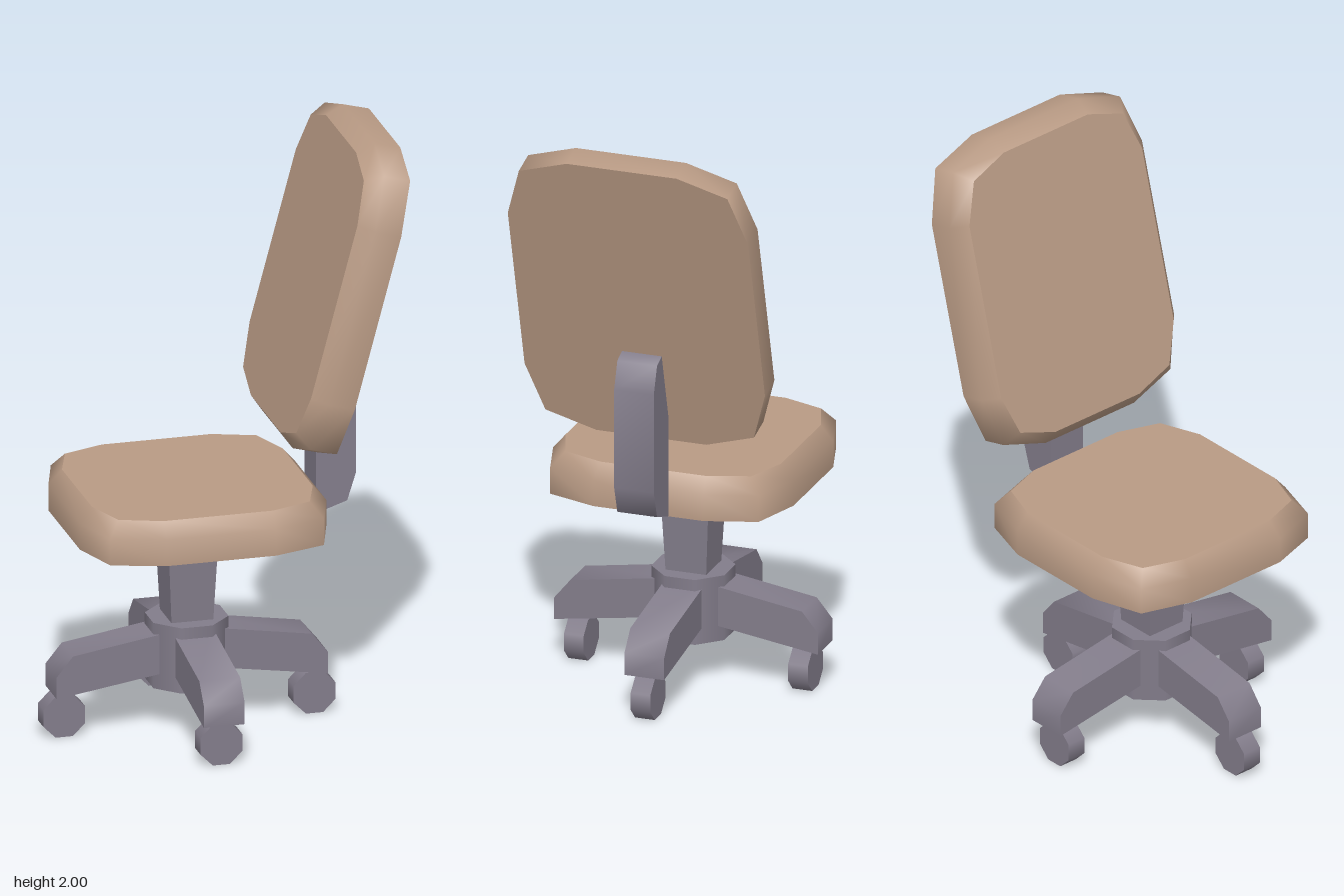
import * as THREE from 'three';
import { toCreasedNormals } from 'three/addons/utils/BufferGeometryUtils.js';

const CX = -0.09; // axis of the pedestal

// Outline of a cushion with clipped corners, shrunk by d
function outline(L, d) {
  const q = [[L - d, 0.19 - 0.2 * d], [L - 0.055 - 0.85 * d, 0.36 - 0.9 * d], [L - 0.23, 0.415 - d]];
  const r = [...q].reverse();
  return [
    ...q,
    ...r.map(([x, z]) => [-x, z]),
    ...q.map(([x, z]) => [-x, -z]),
    ...r.map(([x, z]) => [x, -z]),
  ];
}

// Padded slab: flat caps, smooth rim with a chamfer on the upper side
function cushion(L) {
  const rings = [[0, 0], [0.09, 0], [0.14, 0.043]];
  const pos = [], idx = [];
  const addRing = ([y, d]) => {
    const start = pos.length / 3;
    outline(L, d).forEach(([x, z]) => pos.push(x, y, z));
    return start;
  };
  const n = outline(L, 0).length;
  const starts = rings.map(addRing);
  for (let k = 0; k < rings.length - 1; k++) {
    for (let i = 0; i < n; i++) {
      const j = (i + 1) % n;
      const a = starts[k] + i, b = starts[k] + j, c = starts[k + 1] + j, d = starts[k + 1] + i;
      idx.push(a, d, c, a, c, b);
    }
  }
  const bottom = addRing(rings[0]), top = addRing(rings[2]);
  for (let i = 1; i < n - 1; i++) {
    idx.push(bottom, bottom + i, bottom + i + 1);
    idx.push(top, top + i + 1, top + i);
  }
  const g = new THREE.BufferGeometry();
  g.setAttribute('position', new THREE.Float32BufferAttribute(pos, 3));
  g.setIndex(idx);
  g.computeVertexNormals();
  return g;
}

// Side profile in x/y, extruded symmetrically along z
function bar(points, width) {
  const shape = new THREE.Shape(points.map(([x, y]) => new THREE.Vector2(x, y)));
  const g = new THREE.ExtrudeGeometry(shape, { depth: width, bevelEnabled: false });
  g.translate(0, 0, -width / 2);
  return toCreasedNormals(g, 1.0);
}

// Eight-sided cylinder with flats on the axes
function octagon(apothem, height) {
  const r = apothem / Math.cos(Math.PI / 8);
  return new THREE.CylinderGeometry(r, r, height, 8).rotateY(Math.PI / 8);
}

export function createModel() {
  const chair = new THREE.Group();
  chair.name = 'officeChair';
  const fabric = new THREE.MeshStandardMaterial({ color: 0xb89a84 });
  fabric.name = 'tanFabric';
  const plastic = new THREE.MeshStandardMaterial({ color: 0x827c8a });
  plastic.name = 'greyPlastic';

  const add = (name, geometry, material, x = 0, y = 0, z = 0) => {
    const mesh = new THREE.Mesh(geometry, material);
    mesh.name = name;
    mesh.position.set(x, y, z);
    chair.add(mesh);
    return mesh;
  };

  // Cushions
  add('seat', cushion(0.4135), fabric, -0.0875, 0.7, 0);
  const back = add('backrest', cushion(0.53), fabric, 0.4375, 1.4675, 0);
  back.rotation.z = THREE.MathUtils.degToRad(75);

  // Bracket between seat and backrest
  add('backBracket', bar([
    [0.325, 0.7], [0.43, 0.735], [0.46, 0.83], [0.46, 1.17], [0.43, 1.26], [0.38, 1.28], [0.325, 1.28],
  ], 0.137), plastic);

  // Tapered square post
  const post = new THREE.CylinderGeometry(0.0865 * Math.SQRT2, 0.07 * Math.SQRT2, 0.34, 4).rotateY(Math.PI / 4);
  add('post', toCreasedNormals(post, 0.5), plastic, CX, 0.535, 0);

  // Hub
  add('hub', octagon(0.126, 0.225), plastic, CX, 0.2575, 0);

  // Four arms and their casters, all wheels facing the same way
  const arm = bar([
    [0.05, 0.207], [0.455, 0.145], [0.455, 0.22], [0.4, 0.287], [0.05, 0.343],
  ], 0.137);
  const wheel = octagon(0.07, 0.068).rotateX(Math.PI / 2);
  for (let i = 0; i < 4; i++) {
    const a = i * Math.PI / 2;
    add('baseArm', arm, plastic, CX, 0, 0).rotation.y = a;
    add('caster', wheel, plastic, CX + 0.42 * Math.cos(a), 0.07, -0.387 * Math.sin(a));
  }
  return chair;
}
